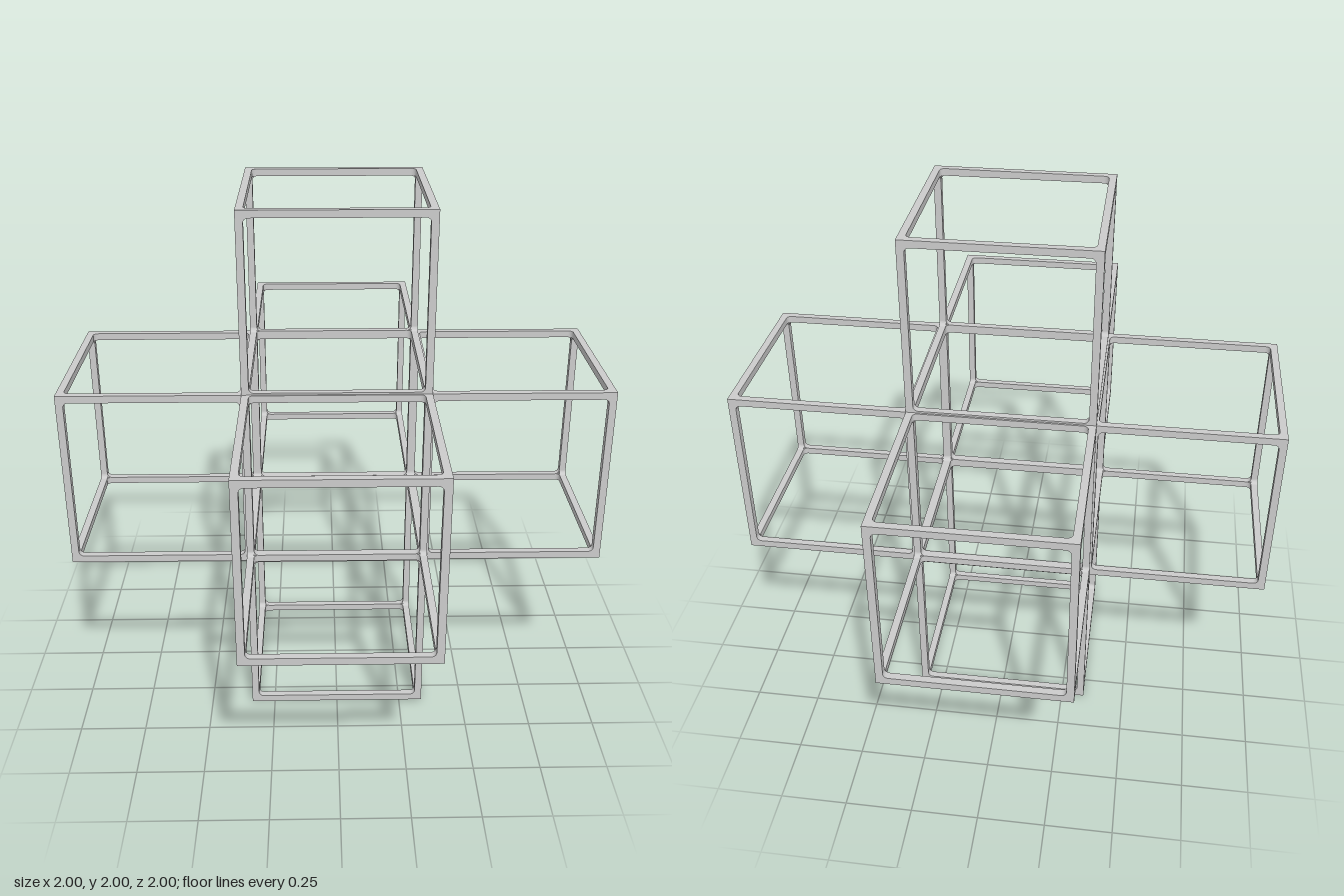
import * as THREE from 'three';

const SIZE = 0.68;   // outer edge of one cube
const BAR = 0.027;   // bar thickness
const PITCH = 0.66;  // spacing of neighbouring cubes, whose bars overlap slightly
const FILLET = 0.018;

// Square face frame with a round-cornered opening, its outside on z = SIZE / 2
function faceGeometry() {
  const h = SIZE / 2, i = h - BAR, r = FILLET;
  const shape = new THREE.Shape([[-h, -h], [h, -h], [h, h], [-h, h]].map(([x, y]) => new THREE.Vector2(x, y)));
  const hole = new THREE.Path();
  hole.moveTo(-i + r, -i);
  hole.absarc(i - r, -i + r, r, -Math.PI / 2, 0);
  hole.absarc(i - r, i - r, r, 0, Math.PI / 2);
  hole.absarc(-i + r, i - r, r, Math.PI / 2, Math.PI);
  hole.absarc(-i + r, -i + r, r, Math.PI, Math.PI * 1.5);
  shape.holes.push(hole);
  const geometry = new THREE.ExtrudeGeometry(shape, { depth: BAR, bevelEnabled: false, curveSegments: 6 });
  return geometry.translate(0, 0, h - BAR);
}

export function createModel() {
  const model = new THREE.Group();
  model.name = 'cubeFrameCross';
  const material = new THREE.MeshStandardMaterial({ color: 0xcccccc });
  const face = faceGeometry();
  const q = Math.PI / 2;
  const faces = {
    front: [0, 0], back: [0, Math.PI], left: [0, q], right: [0, -q], top: [-q, 0], bottom: [q, 0],
  };

  // One open cube made of six face frames
  function addCube(name, x, y, z) {
    const cube = new THREE.Group();
    cube.name = name;
    for (const [side, [rx, ry]] of Object.entries(faces)) {
      const frame = new THREE.Mesh(face, material);
      frame.name = side + 'Frame';
      frame.rotation.set(rx, ry, 0);
      cube.add(frame);
    }
    cube.position.set(x * PITCH, 1 + y * PITCH, z * PITCH);
    model.add(cube);
  }

  // Centre cube with a neighbour on every side
  addCube('centreCube', 0, 0, 0);
  for (const s of [1, -1]) {
    addCube(s > 0 ? 'leftCube' : 'rightCube', s, 0, 0);
    addCube(s > 0 ? 'topCube' : 'bottomCube', 0, s, 0);
    addCube(s > 0 ? 'frontCube' : 'backCube', 0, 0, s);
  }
  return model;
}
